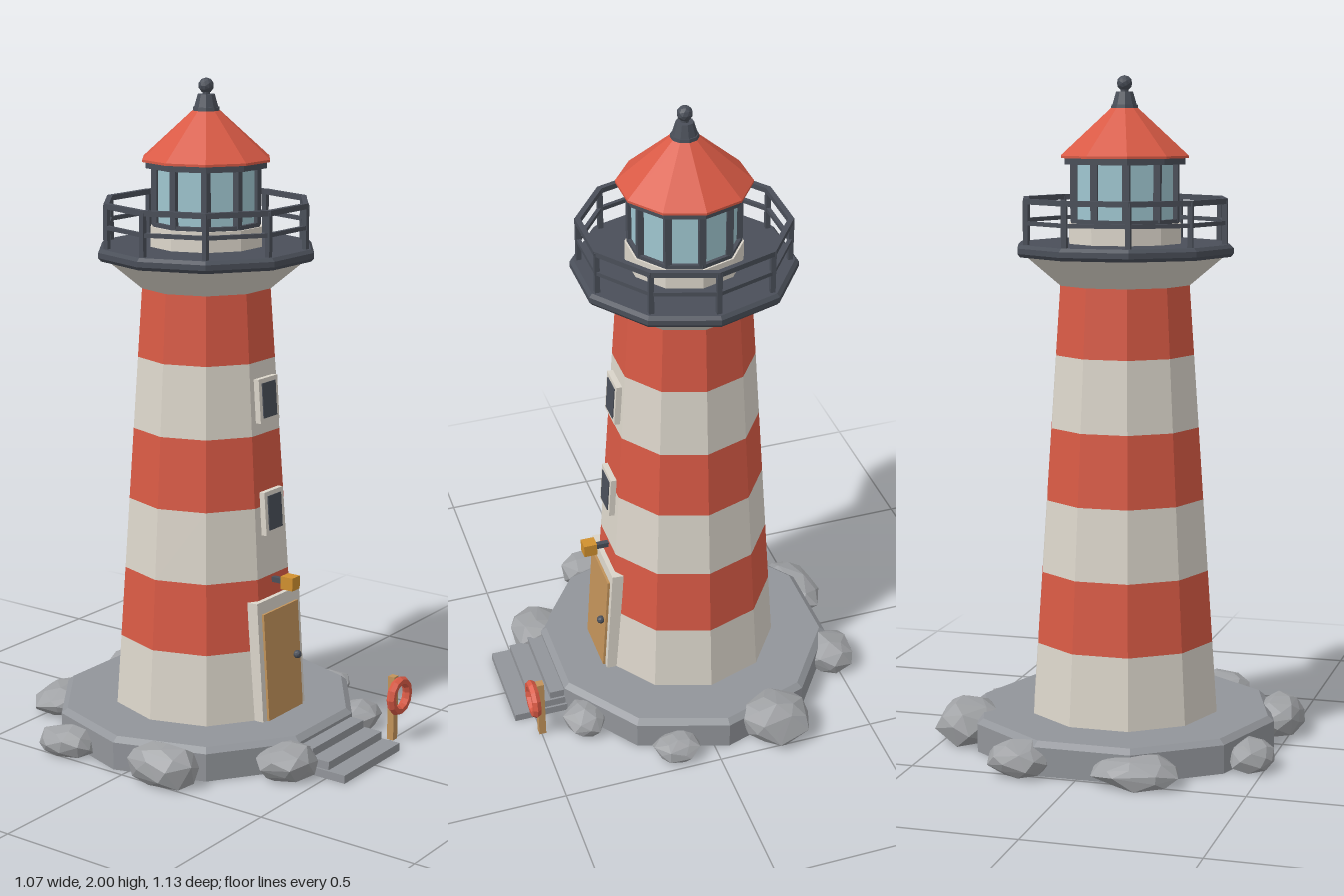
import * as THREE from 'three';
import { ConvexGeometry } from 'three/addons/geometries/ConvexGeometry.js';

const SIDES = 10;
const CX = -0.016, CZ = -0.045; // tower axis

function paint(name, color, double = false) {
  const m = new THREE.MeshStandardMaterial({ color, flatShading: true });
  m.name = name;
  if (double) m.side = THREE.DoubleSide;
  return m;
}

// Tower wall: radius, and distance to the middle of a flat side, at height y
const wallRadius = (y) => 0.29 - 0.07 * (y - 0.1);
const APOTHEM = Math.cos(Math.PI / SIDES);
const wallFace = (y) => wallRadius(y) * APOTHEM;
const LEAN = Math.atan(0.07 * APOTHEM);

function seeded(seed) {
  let s = seed * 7919 + 17;
  return () => (s = (s * 16807) % 2147483647) / 2147483647;
}

export function createModel() {
  const model = new THREE.Group();
  model.name = 'lighthouse';
  const mat = {
    cream: paint('cream', 0xdcd6cb),
    red: paint('red', 0xd95a45),
    dark: paint('dark metal', 0x4a4f59),
    glass: paint('lantern glass', 0x9fc6d0),
    stone: paint('stone', 0x92959a),
    rock: paint('rock', 0x9fa1a4),
    wood: paint('wood', 0xc2935a),
    amber: paint('amber', 0xd0902f),
  };

  function add(parent, name, geometry, material, x = 0, y = 0, z = 0) {
    const mesh = new THREE.Mesh(geometry, material);
    mesh.name = name;
    mesh.position.set(x, y, z);
    parent.add(mesh);
    return mesh;
  }
  const box = (parent, name, m, w, h, d, x, y, z) =>
    add(parent, name, new THREE.BoxGeometry(w, h, d), m, x, y, z);

  const tower = new THREE.Group();
  tower.name = 'tower';
  tower.position.set(CX, 0, CZ);
  model.add(tower);

  // Ten-sided ring with a flat side to the front, from y0 to y1
  const prism = (name, m, r0, r1, y0, y1) =>
    add(tower, name,
      new THREE.CylinderGeometry(r1, r0, y1 - y0, SIDES, 1, false, Math.PI / SIDES),
      m, 0, (y0 + y1) / 2, 0);

  // Bar between two points
  function bar(name, m, a, b, thick) {
    const mesh = box(tower, name, m, thick, thick, a.distanceTo(b) + thick * 0.5, 0, 0, 0);
    mesh.position.copy(a).add(b).multiplyScalar(0.5);
    mesh.lookAt(b.clone().add(tower.position));
    return mesh;
  }
  const corner = (i, r, y) => {
    const a = (i / SIDES) * Math.PI * 2;
    return new THREE.Vector3(Math.cos(a) * r, y, Math.sin(a) * r);
  };

  // Plinth with a bevelled rim
  prism('plinth', mat.stone, 0.467, 0.467, 0, 0.085);
  prism('plinthBevel', mat.stone, 0.467, 0.448, 0.085, 0.1);

  // Striped tower wall
  const STEP = 0.2165;
  for (let i = 0; i < 6; i++) {
    const y0 = 0.1 + i * STEP, y1 = y0 + STEP;
    prism('wallBand', i % 2 ? mat.red : mat.cream, wallRadius(y0), wallRadius(y1), y0, y1);
  }

  // Gallery: flared support, deck and railing
  prism('gallerySupport', mat.cream, 0.2, 0.305, 1.388, 1.476);
  prism('deck', mat.dark, 0.324, 0.332, 1.474, 1.484);
  prism('deck', mat.dark, 0.332, 0.332, 1.484, 1.5);
  prism('deckRim', mat.dark, 0.332, 0.322, 1.5, 1.51);
  for (let i = 0; i < SIDES; i++) {
    const r = 0.305;
    bar('railPost', mat.dark, corner(i, r, 1.505), corner(i, r, 1.635), 0.015);
    bar('topRail', mat.dark, corner(i, r, 1.636), corner(i + 1, r, 1.636), 0.016);
    bar('middleRail', mat.dark, corner(i, r, 1.573), corner(i + 1, r, 1.573), 0.012);
  }

  // Lantern room
  prism('lanternBase', mat.cream, 0.172, 0.172, 1.508, 1.57);
  prism('lanternSill', mat.dark, 0.166, 0.166, 1.57, 1.582);
  prism('lanternGlass', mat.glass, 0.154, 0.154, 1.582, 1.745);
  for (let i = 0; i < SIDES; i++)
    bar('lanternMullion', mat.dark, corner(i, 0.155, 1.58), corner(i, 0.155, 1.742), 0.02);
  prism('lanternHead', mat.dark, 0.186, 0.186, 1.742, 1.762);

  // Roof and finial
  prism('roof', mat.red, 0.196, 0.196, 1.76, 1.767);
  prism('roof', mat.red, 0.196, 0.038, 1.767, 1.908);
  prism('finialCollar', mat.dark, 0.042, 0.04, 1.902, 1.915);
  prism('finialBody', mat.dark, 0.037, 0.026, 1.915, 1.952);
  prism('finialNeck', mat.dark, 0.012, 0.012, 1.95, 1.965);
  add(tower, 'finialBall', new THREE.IcosahedronGeometry(0.023, 1), mat.dark, 0, 1.977, 0);

  // Group lying on the sloping front wall at height y
  function onWall(name, y) {
    const g = new THREE.Group();
    g.name = name;
    g.position.set(0, y, wallFace(y));
    g.rotation.x = -LEAN;
    tower.add(g);
    return g;
  }

  // Door
  const door = onWall('door', 0.1);
  for (const s of [-1, 1]) box(door, 'doorJamb', mat.cream, 0.021, 0.332, 0.036, s * 0.1005, 0.166, -0.002);
  box(door, 'doorLintel', mat.cream, 0.222, 0.038, 0.036, 0, 0.35, -0.002);
  box(door, 'doorLeaf', mat.wood, 0.18, 0.332, 0.035, 0, 0.165, 0.006);
  add(door, 'doorKnob', new THREE.IcosahedronGeometry(0.013, 1), mat.dark, 0.064, 0.166, 0.031);

  // Windows
  for (const y of [0.728, 1.068]) {
    const win = onWall('window', y);
    box(win, 'windowFrame', mat.cream, 0.096, 0.132, 0.036, 0, 0, 0);
    box(win, 'windowPane', mat.dark, 0.068, 0.105, 0.006, 0, 0, 0.018);
  }

  // Lamp above the door
  box(tower, 'lampBracket', mat.dark, 0.016, 0.016, 0.07, 0, 0.517, 0.265);
  box(tower, 'lamp', mat.amber, 0.04, 0.04, 0.042, 0, 0.517, 0.31);

  // Front steps
  [[0.306, 0.565, 0.025], [0.292, 0.505, 0.05], [0.278, 0.445, 0.075]].forEach(([w, z, h]) =>
    box(model, 'step', mat.stone, w, h, z - 0.3, CX, h / 2, (z + 0.3) / 2));

  // Life ring on its post
  box(model, 'ringPost', mat.wood, 0.024, 0.204, 0.022, 0.206, 0.102, 0.497);
  add(model, 'lifeRing', new THREE.TorusGeometry(0.047, 0.0145, 6, 12), mat.red, 0.206, 0.145, 0.52);

  // Shore rocks: x range, z range, height
  const rocks = [
    [-0.305, -0.05, -0.57, -0.39, 0.085], [0.085, 0.27, -0.557, -0.405, 0.1],
    [0.33, 0.535, -0.315, -0.095, 0.133], [0.375, 0.495, 0.05, 0.195, 0.068],
    [0.15, 0.303, 0.285, 0.43, 0.088], [-0.315, -0.13, 0.31, 0.482, 0.1],
    [-0.537, -0.385, 0.01, 0.24, 0.112], [-0.525, -0.385, -0.325, -0.15, 0.085],
  ];
  rocks.forEach(([x0, x1, z0, z1, h], n) => {
    const rnd = seeded(n + 3);
    const pts = [];
    for (let i = 0; i < 34; i++) {
      const y = 1 - (2 * (i + 0.5)) / 34, a = i * 2.4 + rnd() * 0.5;
      const r = Math.sqrt(1 - y * y), k = 0.86 + rnd() * 0.2;
      pts.push(new THREE.Vector3(Math.cos(a) * r * k, Math.max(y * k, -0.7), Math.sin(a) * r * k));
    }
    // Fit the lump to its footprint and height
    const b = new THREE.Box3().setFromPoints(pts), size = b.getSize(new THREE.Vector3());
    const fit = new THREE.Vector3(x1 - x0, h, z1 - z0).divide(size);
    pts.forEach((p) => p.sub(b.min).multiply(fit));
    add(model, 'rock', new ConvexGeometry(pts), mat.rock, x0, 0, z0);
  });

  return model;
}
